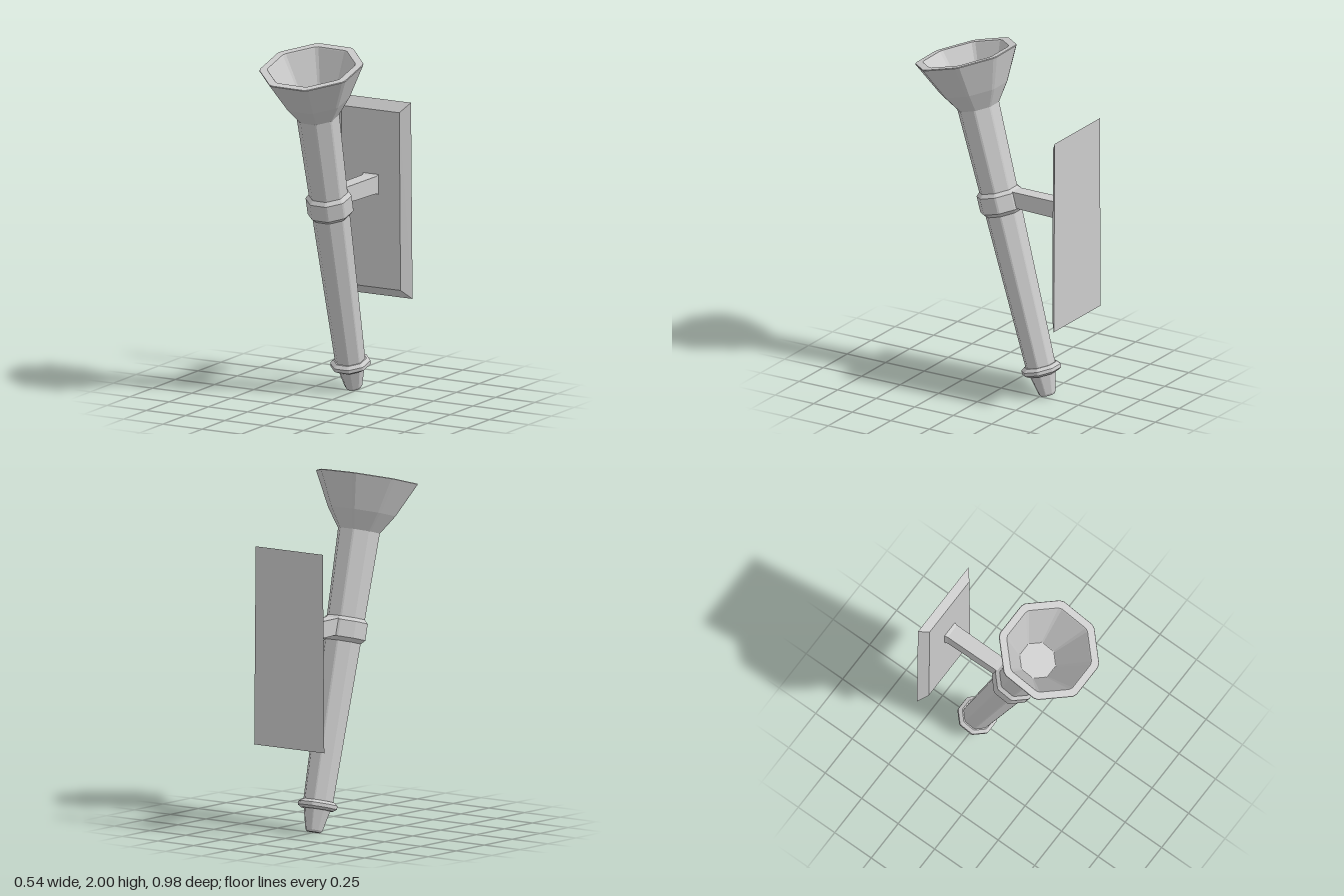
import * as THREE from 'three';

const material = new THREE.MeshStandardMaterial({ color: 0xcccccc, flatShading: true });

// Skin a list of equal-length rings (counter-clockwise seen from the end) and cap both ends
function loft(name, rings) {
  const pos = [];
  const tri = (...pts) => pts.forEach(p => pos.push(p.x, p.y, p.z));
  const n = rings[0].length;
  for (let i = 0; i < rings.length - 1; i++) {
    for (let j = 0; j < n; j++) {
      const k = (j + 1) % n;
      const a = rings[i][j], b = rings[i][k], c = rings[i + 1][k], d = rings[i + 1][j];
      tri(a, b, c);
      tri(a, c, d);
    }
  }
  const first = rings[0], last = rings[rings.length - 1];
  for (let j = 1; j < n - 1; j++) {
    tri(first[0], first[j + 1], first[j]);
    tri(last[0], last[j], last[j + 1]);
  }
  const geo = new THREE.BufferGeometry();
  geo.setAttribute('position', new THREE.Float32BufferAttribute(pos, 3));
  geo.computeVertexNormals();
  const mesh = new THREE.Mesh(geo, material);
  mesh.name = name;
  return mesh;
}

// Octagon with flats towards x and z and slightly bevelled corners
function octagon(apothem, y) {
  const half = apothem * Math.tan(Math.PI / 8) * 0.88;
  const ring = [];
  for (let i = 0; i < 8; i++) {
    const t = i * Math.PI / 4, c = Math.cos(t), s = Math.sin(t);
    for (const e of [-half, half]) {
      ring.push(new THREE.Vector3(apothem * c - e * s, y, -(apothem * s + e * c)));
    }
  }
  return ring;
}

// Octagonal part from [apothem, height] pairs
const turned = (name, profile) => loft(name, profile.map(([a, y]) => octagon(a, y)));

// Four-cornered ring facing +z
const rect = (x0, x1, y0, y1, z, flare = 0) => [
  new THREE.Vector3(x0 - flare, y0, z), new THREE.Vector3(x1 + flare, y0, z),
  new THREE.Vector3(x1, y1, z), new THREE.Vector3(x0, y1, z),
];

export function createModel() {
  const model = new THREE.Group();
  model.name = 'wallTorch';

  // Leaning torch, built upright along its own axis
  const torch = new THREE.Group();
  torch.name = 'torch';
  torch.position.set(-0.028, 0.013, -0.283);
  torch.rotation.set(THREE.MathUtils.degToRad(15), 0, -0.014);
  torch.add(
    turned('tip', [[0.038, 0], [0.046, 0.012], [0.073, 0.135]]),
    turned('lowerCollar', [[0.085, 0.126], [0.105, 0.14], [0.105, 0.16], [0.086, 0.176]]),
    turned('shaft', [[0.079, 0.15], [0.112, 1.69]]),
    turned('clasp', [[0.098, 1.062], [0.12, 1.085], [0.12, 1.178], [0.1, 1.2]]),
    // Cup: outer wall, rim, inner wall and floor
    turned('cup', [[0.111, 1.68], [0.18, 1.787], [0.272, 1.978], [0.27, 1.982],
      [0.23, 1.982], [0.226, 1.976], [0.1, 1.692], [0.093, 1.687]]),
  );
  model.add(torch);

  // Arm from the plate to the clasp, flared where it meets the plate
  model.add(loft('bracketArm', [
    rect(-0.062, 0.037, 1.08, 1.192, -0.46),
    rect(-0.06, 0.036, 1.08, 1.192, -0.442),
    rect(-0.055, 0.033, 1.086, 1.184, -0.425),
    rect(-0.053, 0.031, 1.094, 1.186, -0.12),
    rect(-0.053, 0.031, 1.094, 1.186, -0.06),
  ]));

  // Bevelled wall plate
  model.add(loft('wallPlate', [
    rect(-0.25, 0.22, 0.503, 1.61, -0.484, 0.01),
    rect(-0.198, 0.17, 0.553, 1.556, -0.442, 0.008),
  ]));

  return model;
}
